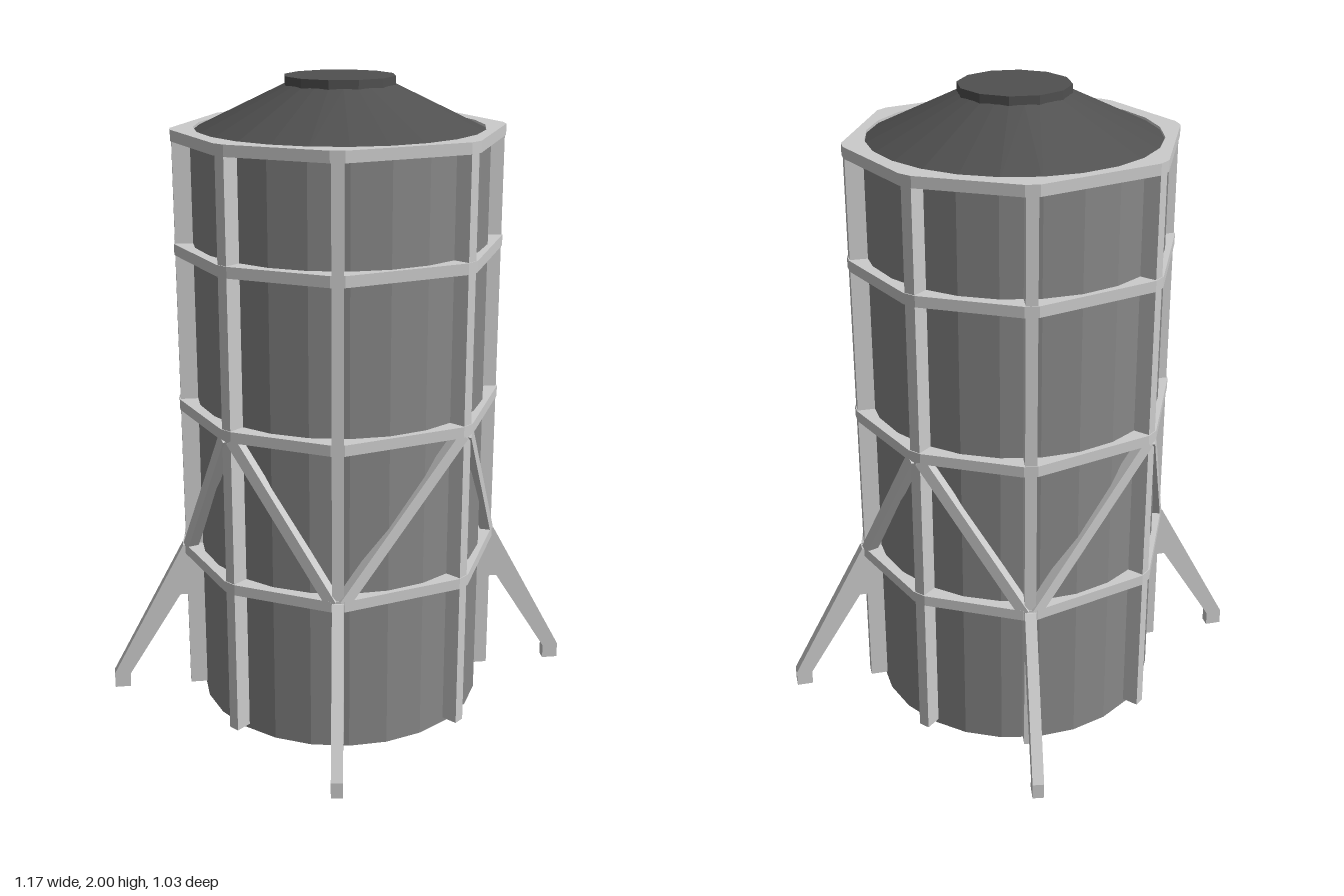
import * as THREE from 'three';

const frameMat = new THREE.MeshStandardMaterial({ color: 0xcccccc, flatShading: true });
const shellMat = new THREE.MeshStandardMaterial({ color: 0x888888, flatShading: true, side: THREE.DoubleSide });
const roofMat = new THREE.MeshStandardMaterial({ color: 0x505050, flatShading: true, side: THREE.DoubleSide });

const R = 0.508;          // outer radius of the frame
const SHELL = 0.455;      // radius of the tank wall
const DIAG = 0.71;        // angle of the diagonal posts from the x axis
const BAR = 0.035;        // bar thickness

// the eight post directions, in order around the tank
const posts = [
  0, DIAG, Math.PI / 2, Math.PI - DIAG,
  Math.PI, Math.PI + DIAG, Math.PI * 1.5, Math.PI * 2 - DIAG,
].map((angle, i) => ({ angle, diagonal: i % 2 === 1 }));

// point on the frame at an angle, shifted sideways by s
const corner = (a, s) => new THREE.Vector2(
  R * Math.cos(a) - s * Math.sin(a), R * Math.sin(a) + s * Math.cos(a));

function add(group, name, geometry, material) {
  const mesh = new THREE.Mesh(geometry, material);
  mesh.name = name;
  group.add(mesh);
  return mesh;
}

// flat plate standing in a radial plane; outline is [radius, height] pairs
function radialPlate(group, name, outline, angle) {
  const shape = new THREE.Shape(outline.map(([r, y]) => new THREE.Vector2(r, y)));
  const geo = new THREE.ExtrudeGeometry(shape, { depth: BAR, bevelEnabled: false });
  geo.translate(0, 0, -BAR / 2);
  add(group, name, geo, frameMat).rotation.y = -angle;
}

// eight-cornered hoop with blunt corners, fitted around the wall
function hoop(group, y, height) {
  const outline = posts.flatMap(({ angle }) => [corner(angle, -0.021), corner(angle, 0.021)]);
  const shape = new THREE.Shape(outline);
  shape.holes.push(new THREE.Path().absarc(0, 0, 0.44, 0, Math.PI * 2, true));
  const geo = new THREE.ExtrudeGeometry(shape, { depth: height, bevelEnabled: false, curveSegments: 12 });
  geo.rotateX(-Math.PI / 2).translate(0, y, 0);
  add(group, 'hoop', geo, frameMat);
}

// slanted bar from the top of one post to the foot of the next
function brace(group, high, low, side) {
  const p = corner(high, 0.02 * side), q = corner(low, -0.02 * side);
  const top = new THREE.Vector3(p.x, 0.985, p.y);
  const bottom = new THREE.Vector3(q.x, 0.51, q.y);
  const along = top.clone().sub(bottom);
  const length = along.length();
  along.normalize();
  const out = new THREE.Vector3(q.y - p.y, 0, p.x - q.x).normalize();
  const centre = top.clone().add(bottom).multiplyScalar(0.5);
  if (out.dot(centre.clone().setY(0)) < 0) out.negate();
  const across = new THREE.Vector3().crossVectors(along, out);
  const mesh = add(group, 'brace', new THREE.BoxGeometry(BAR, length, BAR), frameMat);
  mesh.quaternion.setFromRotationMatrix(new THREE.Matrix4().makeBasis(across, along, out));
  mesh.position.copy(centre).addScaledVector(out, -BAR / 2);
}

export function createModel() {
  const model = new THREE.Group();
  model.name = 'storageTank';

  // tank wall, open at the bottom
  add(model, 'tankWall', new THREE.CylinderGeometry(SHELL, SHELL, 1.835, 24, 1, true), shellMat)
    .position.y = 0.9175;

  // shallow conical roof and its round hatch
  add(model, 'roof', new THREE.CylinderGeometry(0.165, 0.455, 0.14, 24, 1, true), roofMat)
    .position.y = 1.905;
  add(model, 'roofHatch', new THREE.CylinderGeometry(0.169, 0.169, 0.03, 12), roofMat)
    .position.y = 1.985;

  // hoops
  const frame = new THREE.Group();
  frame.name = 'frame';
  model.add(frame);
  for (const y of [0.487, 0.98, 1.474, 1.816]) hoop(frame, y, 0.034);

  // posts, with splayed legs on the diagonals
  for (const { angle, diagonal } of posts) {
    const inner = diagonal ? 0.44 : 0.45;
    radialPlate(frame, 'post', [[inner, 0.015], [0.505, 0.015], [0.505, 1.82], [inner, 1.82]], angle);
    if (diagonal) {
      radialPlate(frame, 'leg', [
        [0.49, 0.34], [0.53, 0.34], [0.705, 0.06], [0.705, 0.015],
        [0.756, 0.015], [0.756, 0.065], [0.515, 0.515], [0.49, 0.515],
      ], angle);
    }
  }

  // zigzag braces between the two lower hoops
  posts.forEach(({ angle, diagonal }, i) => {
    if (diagonal) return;
    brace(frame, angle, posts[(i + 1) % 8].angle, 1);
    brace(frame, angle, posts[(i + 7) % 8].angle, -1);
  });

  return model;
}
